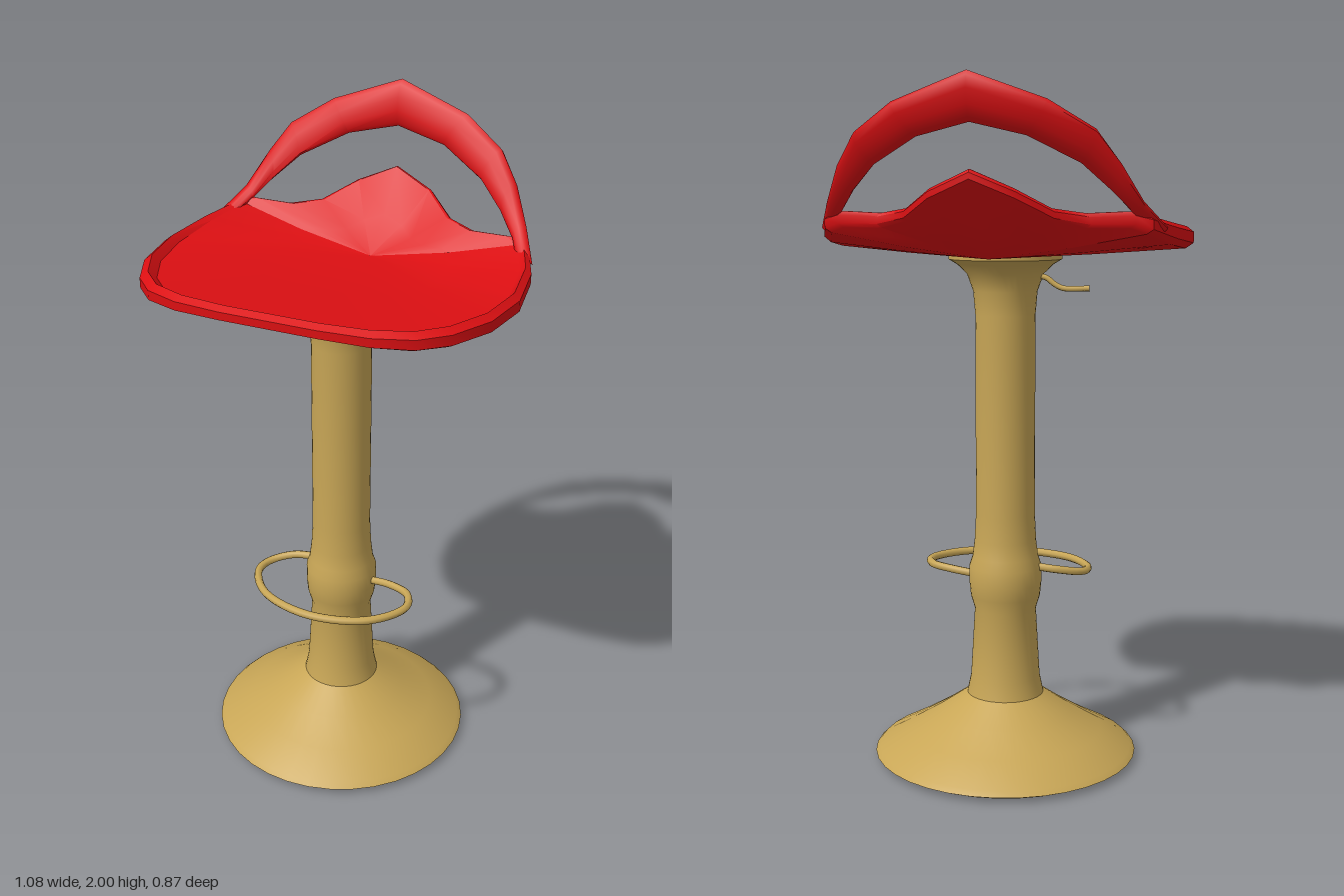
import * as THREE from 'three';
import { toCreasedNormals } from 'three/addons/utils/BufferGeometryUtils.js';

const V = (x, y, z) => new THREE.Vector3(x, y, z);

// Skin a list of closed rings of points; triangles collapsed to a line are left out.
function loft(rings, crease) {
  const pos = [];
  const tri = (a, b, c) => {
    if (a.distanceTo(b) < 1e-5 || b.distanceTo(c) < 1e-5 || a.distanceTo(c) < 1e-5) return;
    for (const p of [a, b, c]) pos.push(p.x, p.y, p.z);
  };
  for (let i = 0; i < rings.length - 1; i++) {
    const n = rings[i].length;
    for (let j = 0; j < n; j++) {
      const k = (j + 1) % n;
      tri(rings[i][j], rings[i + 1][j], rings[i + 1][k]);
      tri(rings[i][j], rings[i + 1][k], rings[i][k]);
    }
  }
  const g = new THREE.BufferGeometry();
  g.setAttribute('position', new THREE.Float32BufferAttribute(pos, 3));
  return toCreasedNormals(g, crease);
}

// Half outline from front centre to back centre: x, y, z, lip depth, edge thickness
const HALF = [
  [0, 1.59, 0.435, 0.022, 0.045], [0.14, 1.59, 0.435, 0.022, 0.045],
  [0.28, 1.59, 0.42, 0.022, 0.05], [0.385, 1.59, 0.38, 0.022, 0.055],
  [0.455, 1.59, 0.31, 0.022, 0.058], [0.515, 1.592, 0.19, 0.022, 0.06],
  [0.538, 1.597, 0.04, 0.02, 0.062], [0.515, 1.61, -0.12, 0.012, 0.06],
  [0.465, 1.63, -0.245, 0.005, 0.05], [0.42, 1.64, -0.262, 0, 0.045],
  [0.3, 1.635, -0.275, 0, 0.04], [0.21, 1.648, -0.315, 0, 0.035],
  [0.12, 1.7, -0.385, 0, 0.035], [0, 1.75, -0.408, 0, 0.035],
];

function seatGeometry() {
  const mirrored = HALF.slice(1, -1).reverse().map(([x, ...rest]) => [-x, ...rest]);
  const outline = [...HALF, ...mirrored];
  const cz = -0.21, top = 1.535, under = 1.508;
  const ring = (t, height) => outline.map(([x, y, z, lip, thick]) =>
    V(x * t, height(y, lip, thick), cz + (z - cz) * t));
  const mix = THREE.MathUtils.lerp;
  return loft([
    ring(0, () => top),
    ring(0.5, (y, lip) => mix(top, y - lip, 0.45)),
    ring(0.93, (y, lip) => y - lip),
    ring(0.965, y => y),
    ring(1, (y, l, h) => y - h * 0.25),
    ring(1, (y, l, h) => y - h * 0.75),
    ring(0.96, (y, l, h) => y - h),
    ring(0.5, (y, l, h) => mix(under, y - h, 0.45)),
    ring(0, () => under),
  ], 0.5);
}

// Back hoop stations: upper edge xyz, lower edge xyz
const HOOP = [
  [0, 2.0, -0.424, 0, 1.87, -0.4],
  [0.21, 1.925, -0.408, 0.15, 1.835, -0.385],
  [0.33, 1.85, -0.365, 0.285, 1.765, -0.335],
  [0.385, 1.77, -0.33, 0.365, 1.69, -0.3],
  [0.435, 1.67, -0.275, 0.42, 1.63, -0.262],
  [0.485, 1.6, -0.18, 0.465, 1.58, -0.19],
];

function hoopGeometry() {
  const left = HOOP.slice(1).reverse().map(([a, b, c, d, e, f]) => [-a, b, c, -d, e, f]);
  const rings = [...left, ...HOOP].map(([a, b, c, d, e, f]) => {
    const upper = V(a, b, c), lower = V(d, e, f);
    const mid = upper.clone().add(lower).multiplyScalar(0.5);
    const u = upper.clone().sub(mid);
    const v = V(mid.x, 0, mid.z).normalize().multiplyScalar(0.019);
    return Array.from({ length: 10 }, (_, k) => {
      const phi = k / 10 * Math.PI * 2;
      return mid.clone().addScaledVector(u, Math.cos(phi)).addScaledVector(v, Math.sin(phi));
    });
  });
  return loft(rings, 0.9);
}

const rod = (points, radius, segments) => new THREE.TubeGeometry(
  new THREE.CatmullRomCurve3(points.map(p => V(...p))), segments, radius, 8);

export function createModel() {
  const model = new THREE.Group();
  model.name = 'barStool';
  const red = new THREE.MeshStandardMaterial({ color: 0xdb0f12 });
  red.name = 'red';
  const brass = new THREE.MeshStandardMaterial({ color: 0xc8a656 });
  brass.name = 'brass';
  const add = (name, geometry, material) => {
    const mesh = new THREE.Mesh(geometry, material);
    mesh.name = name;
    model.add(mesh);
    return mesh;
  };

  // Seat and backrest
  add('seat', seatGeometry(), red);
  add('backHoop', hoopGeometry(), red);

  // Turned pedestal: base cone, collar, column and flared head
  const profile = [
    [0, 0.005], [0.365, 0.008], [0.394, 0.022], [0.38, 0.036], [0.29, 0.085], [0.2, 0.14],
    [0.115, 0.198], [0.104, 0.25], [0.092, 0.46], [0.104, 0.5], [0.108, 0.54],
    [0.108, 0.59], [0.098, 0.62], [0.092, 0.67], [0.088, 0.75], [0.088, 1.34], [0.094, 1.41],
    [0.112, 1.46], [0.14, 1.487], [0.165, 1.502], [0.165, 1.514], [0, 1.514],
  ].map(([r, y]) => new THREE.Vector2(r, y));
  const turned = toCreasedNormals(new THREE.LatheGeometry(profile, 36), 0.7);
  add('pedestal', turned, brass).position.z = -0.013;

  // Footrest loop with both ends running into the collar
  add('footrest', rod([
    [-0.08, 0.592, -0.013], [-0.16, 0.583, -0.005], [-0.222, 0.57, 0.04], [-0.23, 0.568, 0.1],
    [-0.15, 0.568, 0.205], [0.017, 0.568, 0.253], [0.185, 0.568, 0.205], [0.262, 0.568, 0.1],
    [0.24, 0.568, 0.03], [0.17, 0.564, -0.003], [0.08, 0.555, -0.013],
  ], 0.012, 64), brass);

  // Height lever under the seat
  add('heightLever', rod([
    [-0.07, 1.455, -0.013], [-0.12, 1.45, -0.013], [-0.145, 1.432, -0.013],
    [-0.17, 1.42, -0.013], [-0.25, 1.42, -0.013],
  ], 0.008, 24), brass);

  return model;
}
